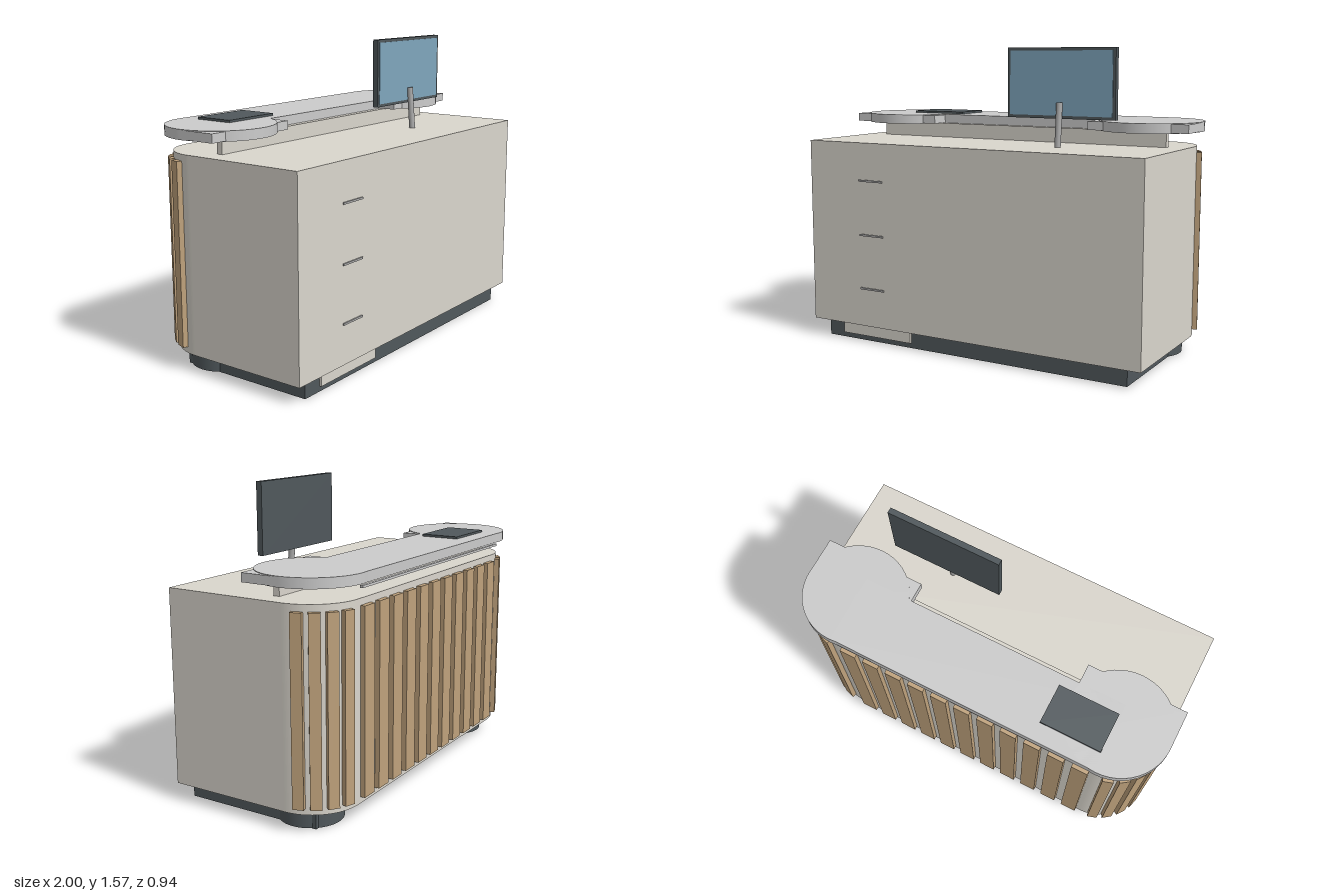
import * as THREE from 'three';

const mat = (color) => new THREE.MeshStandardMaterial({ color });

export function createModel() {
  const root = new THREE.Group();
  root.name = 'receptionDesk';
  const shell = mat(0xdad6cd), stone = mat(0xdcdcda), dark = mat(0x50585c);
  const wood = mat(0xbfa27c), blue = mat(0x7fa6bd), metal = mat(0xaaaaaa);

  const add = (name, geometry, material, parent = root) => {
    const mesh = new THREE.Mesh(geometry, material);
    mesh.name = name;
    parent.add(mesh);
    return mesh;
  };
  // Box given by its limits on each axis
  const box = (name, material, [x0, x1], [y0, y1], [z0, z1]) => {
    const mesh = add(name, new THREE.BoxGeometry(x1 - x0, y1 - y0, z1 - z0), material);
    mesh.position.set((x0 + x1) / 2, (y0 + y1) / 2, (z0 + z1) / 2);
    return mesh;
  };
  const disc = (name, material, x, z, r, y0, y1) => {
    const mesh = add(name, new THREE.CylinderGeometry(r, r, y1 - y0, 48), material);
    mesh.position.set(x, (y0 + y1) / 2, z);
    return mesh;
  };

  // Cabinet: plan outline with the two back corners rounded, extruded upward
  const w = 0.965, cx = 0.72, cz = -0.19, r = 0.245, front = 0.463;
  const plan = new THREE.Shape();
  plan.moveTo(-w, -front);
  plan.lineTo(w, -front);
  plan.lineTo(w, -cz);
  plan.absarc(cx, -cz, r, 0, Math.PI / 2, false);
  plan.lineTo(-cx, -cz + r);
  plan.absarc(-cx, -cz, r, Math.PI / 2, Math.PI, false);
  plan.closePath();
  const cabinet = new THREE.ExtrudeGeometry(plan, { depth: 0.985, bevelEnabled: false, curveSegments: 24 });
  cabinet.rotateX(-Math.PI / 2);
  add('cabinet', cabinet, shell).position.y = 0.09;

  // Recessed plinth with round back corners
  box('plinth', dark, [-0.885, 0.885], [0, 0.09], [-0.31, 0.43]);
  box('plinthPanel', shell, [-0.78, -0.34], [0.028, 0.092], [0.42, 0.442]);

  // Wooden slats on the back and around the corners
  const slats = new THREE.Group();
  slats.name = 'slats';
  root.add(slats);
  const slat = (x, z, turn, width) => {
    const mesh = add('slat', new THREE.BoxGeometry(width, 0.92, 0.03), wood, slats);
    mesh.position.set(x, 0.582, z);
    mesh.rotation.y = turn;
  };
  for (let i = -5; i <= 5; i++) slat(i * 0.131, cz - r - 0.01, 0, 0.088);

  // Raised counter: slab, riser and light strip under the back edge
  box('counterSlab', stone, [-0.72, 0.72], [1.15, 1.2], [-0.467, -0.105]);
  box('counterRiser', shell, [-0.86, 0.86], [1.075, 1.152], [-0.105, -0.073]);
  box('lightStrip', stone, [-0.72, 0.72], [1.127, 1.139], [-0.462, -0.445]);

  for (const s of [-1, 1]) {
    for (const deg of [18, 36, 54, 72]) {
      const a = THREE.MathUtils.degToRad(deg), d = r + 0.01;
      slat(s * (cx + d * Math.cos(a)), cz - d * Math.sin(a), s * (a - Math.PI / 2), 0.055);
    }
    disc('plinthCorner', dark, s * 0.755, -0.195, 0.16, 0.001, 0.09);
    disc('counterEnd', stone, s * 0.73, -0.2, 0.27, 1.15, 1.2);
    const xs = s < 0 ? [-1, -0.47] : [0.465, 1];
    box('counterReturn', stone, xs, [1.153, 1.197], [-0.2, 0]);
  }

  // Drawer pulls
  for (const y of [0.29, 0.58, 0.87]) box('drawerPull', metal, [-0.64, -0.49], [y, y + 0.01], [0.46, 0.47]);

  // Monitor, screen and leaning post
  box('monitor', dark, [0.085, 0.682], [1.215, 1.567], [0.12, 0.15]);
  box('screen', blue, [0.1, 0.667], [1.23, 1.552], [0.145, 0.153]);
  const post = add('monitorPost', new THREE.CylinderGeometry(0.016, 0.016, 0.222, 20), metal);
  post.position.set(0.384, 1.185, 0.167);
  post.rotation.x = -0.08;

  // Tablet on the counter
  box('tablet', dark, [-0.712, -0.39], [1.2, 1.212], [-0.373, -0.163]);
  return root;
}
